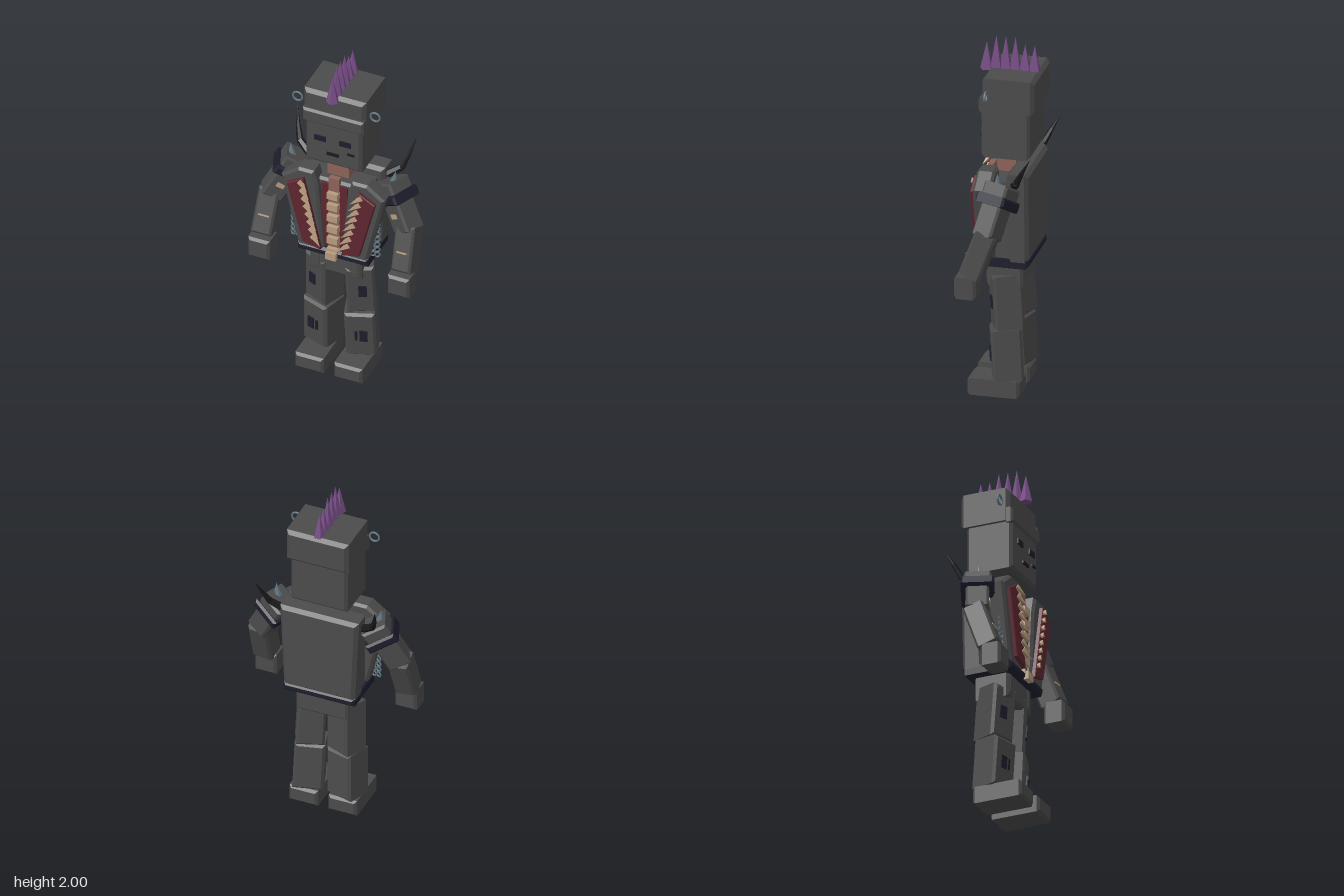
import * as THREE from 'three';

const mat = (name, color) => {
  const m = new THREE.MeshStandardMaterial({ color });
  m.name = name;
  return m;
};
const V = (x, y, z) => new THREE.Vector3(x, y, z);
const UP = V(0, 1, 0);

export function createModel() {
  const root = new THREE.Group();
  root.name = 'armouredPunkFigure';
  const grey = mat('charcoal grey', 0x4b4b4b);
  const navy = mat('dark navy', 0x1e1e2e);
  const maroon = mat('maroon', 0x5e2630);
  const skin = mat('skin brown', 0x8c6358);
  const bone = mat('bone', 0xb59b7d);
  const steel = mat('blue steel', 0x60737e);
  const purple = mat('purple', 0x774d86);
  const black = mat('black', 0x1a1a1e);

  const add = (name, geometry, material, p = V(0, 0, 0), parent = root) => {
    const m = new THREE.Mesh(geometry, material);
    m.name = name;
    m.position.copy(p);
    parent.add(m);
    return m;
  };
  // Flat polygon given thickness, with a chamfer of size b on all edges
  const slab = (pts, z0, z1, b) => {
    const shape = new THREE.Shape(pts.map(([x, y]) => new THREE.Vector2(x, y)));
    const g = new THREE.ExtrudeGeometry(shape, {
      depth: z1 - z0 - 2 * b, bevelEnabled: true, bevelSize: b, bevelThickness: b,
      bevelOffset: -b, bevelSegments: 1,
    });
    return g.translate(0, 0, z0 + b);
  };
  const chamferBox = (w, h, d, b = 0.014) =>
    slab([[-w / 2, -h / 2], [w / 2, -h / 2], [w / 2, h / 2], [-w / 2, h / 2]], -d / 2, d / 2, b);
  const box = (w, h, d) => new THREE.BoxGeometry(w, h, d);
  const faceted = (g) => {
    const f = g.toNonIndexed();
    f.computeVertexNormals();
    return f;
  };
  const spike = (name, from, to, r, sides, material, parent = root) => {
    const d = to.clone().sub(from);
    const m = add(name, faceted(new THREE.ConeGeometry(r, d.length(), sides)), material,
      from.clone().lerp(to, 0.5), parent);
    m.quaternion.setFromUnitVectors(UP, d.normalize());
    return m;
  };

  // Head, cap and face
  add('head', chamferBox(0.325, 0.3, 0.265, 0.016), grey, V(0, 1.51, -0.017));
  add('cap', chamferBox(0.36, 0.19, 0.285, 0.02), grey, V(0, 1.725, -0.035));
  add('capBand', chamferBox(0.355, 0.085, 0.05, 0.012), grey, V(0, 1.663, 0.102));
  for (const s of [-1, 1]) {
    add('eye', box(0.066, 0.03, 0.009), navy, V(s * 0.073, 1.533, 0.125));
    add('earring', new THREE.TorusGeometry(0.027, 0.006, 6, 16), steel, V(s * 0.225, 1.732, 0.075));
  }
  add('mouth', box(0.07, 0.016, 0.009), black, V(0, 1.442, 0.122));
  add('cheekScar', box(0.042, 0.01, 0.009), black, V(0.104, 1.47, 0.122));

  // Mohawk
  [1.96, 2, 2, 2, 1.96, 1.96].forEach((tip, i) => {
    const z = 0.125 - i * 0.0525;
    spike('mohawkSpike', V(0, 1.803, z), V(0, tip, z), 0.036, 5, purple);
  });

  // Neck and torso core
  add('neck', box(0.125, 0.13, 0.1), skin, V(0, 1.315, 0));
  add('torso', chamferBox(0.38, 0.46, 0.2), grey, V(0, 1.01, -0.01));
  add('chestSkin', box(0.06, 0.46, 0.03), skin, V(0, 1.04, 0.095));
  add('belt', chamferBox(0.41, 0.05, 0.285), navy, V(0, 0.778, -0.01));
  add('hips', chamferBox(0.3, 0.16, 0.2), grey, V(0, 0.7, -0.01));
  for (let i = 0; i < 6; i++)
    add('spinePlate', box(0.062, 0.04, 0.04), bone, V(0, 1.165 - i * 0.074, 0.115));
  add('buckle', box(0.06, 0.045, 0.03), bone, V(0, 0.778, 0.14));

  // Jacket back
  add('jacketBack', slab([[-0.205, 0.79], [0.205, 0.79], [0.228, 1.3], [-0.228, 1.3]], -0.155, -0.035, 0.02), grey);

  for (const s of [-1, 1]) {
    const mx = (pts) => pts.map(([x, y]) => [s * x, y]);

    // Jacket front with lapel, teeth and chain
    add('jacketFront', slab(mx([[0.052, 0.785], [0.2, 0.785], [0.3, 1.22], [0.2, 1.295], [0.11, 1.295], [0.085, 1.2]]), 0.03, 0.13, 0.014), grey);
    add('lapel', slab(mx([[0.06, 0.805], [0.165, 0.83], [0.256, 1.195], [0.16, 1.25]]), 0.125, 0.153, 0.004), maroon);
    add('innerLining', box(0.04, 0.42, 0.03), maroon, V(s * 0.054, 1.01, 0.09));
    for (let i = 0; i < 8; i++) {
      const t = i / 7;
      const x = 0.165 - 0.075 * t, y = 1.215 - 0.34 * t;
      spike('lapelTooth', V(s * (x + 0.014), y + 0.012, 0.15), V(s * (x - 0.042), y - 0.025, 0.183), 0.019, 4, bone);
    }
    for (let i = 0; i < 14; i++) {
      const ring = add('chainLink', new THREE.TorusGeometry(0.014, 0.005, 5, 10), steel,
        V(s * (0.218 + 0.026 * (i % 2)), 1.03 - Math.floor(i / 2) * 0.034, 0.09));
      ring.rotation.y = s * 0.4;
    }

    // Arm: parts are strung along shoulder, elbow and wrist, each turned outwards by yaw
    const arm = new THREE.Group();
    arm.name = s > 0 ? 'leftArm' : 'rightArm';
    root.add(arm);
    const shoulder = V(s * 0.27, 1.245, -0.03), elbow = V(s * 0.4, 1.0, 0.025);
    const foreTop = V(s * 0.4, 1.03, 0.015), wrist = V(s * 0.41, 0.785, 0.105);
    const limb = (name, a, b, w, d, yaw, material, t0 = 0, t1 = 1) => {
      const p = a.clone().lerp(b, t0), q = a.clone().lerp(b, t1);
      const m = add(name, chamferBox(w, p.distanceTo(q), d, 0.012), material, p.clone().lerp(q, 0.5), arm);
      const y = p.sub(q).normalize();
      const z = V(Math.cos(yaw), 0, s * Math.sin(yaw)).cross(y).normalize();
      m.quaternion.setFromRotationMatrix(new THREE.Matrix4().makeBasis(y.clone().cross(z), y, z));
      return m;
    };
    const upper = limb('upperArm', shoulder, elbow, 0.125, 0.125, 0.38, grey);
    limb('shoulderPad', shoulder, elbow, 0.145, 0.15, 0.38, grey, -0.03, 0.25);
    limb('shoulderBand', shoulder, elbow, 0.175, 0.18, 0.38, navy, 0.2, 0.4);
    const fore = limb('forearm', foreTop, wrist, 0.115, 0.12, 0.1, grey);
    add('hand', chamferBox(0.125, 0.125, 0.12), grey, V(s * 0.405, 0.723, 0.128), arm);
    add('armPatch', box(0.045, 0.026, 0.006), bone, V(0, -0.04, 0.064), upper);
    add('forearmScar', box(0.06, 0.008, 0.006), bone, V(0, -0.02, 0.062), fore);

    // Shoulder spike and curved horn
    spike('shoulderSpike', V(s * 0.292, 1.225, -0.01), V(s * 0.305, 1.335, -0.012), 0.034, 8, steel, arm);
    const pts = [V(0.23, 1.24, -0.085), V(0.295, 1.285, -0.112), V(0.322, 1.355, -0.148), V(0.345, 1.44, -0.195)];
    const radii = [0.024, 0.019, 0.012];
    for (let i = 0; i < 3; i++) {
      const a = pts[i].clone(), b = pts[i + 1].clone();
      a.x *= s; b.x *= s;
      const d = b.clone().sub(a);
      const g = faceted(new THREE.CylinderGeometry(radii[i + 1] || 0.001, radii[i], d.length() + 0.004, 6));
      add('horn', g, black, a.lerp(b, 0.5), arm).quaternion.setFromUnitVectors(UP, d.normalize());
    }

    // Leg, with thigh and shin turned outwards
    const leg = new THREE.Group();
    leg.name = s > 0 ? 'leftLeg' : 'rightLeg';
    root.add(leg);
    const thigh = add('thigh', chamferBox(0.155, 0.305, 0.16), grey, V(s * 0.103, 0.533, -0.01), leg);
    thigh.rotation.set(0.05, s * 0.42, s * 0.03);
    const shin = add('shin', chamferBox(0.165, 0.285, 0.165), grey, V(s * 0.109, 0.235, -0.012), leg);
    shin.rotation.set(0.05, s * 0.31, s * 0.025);
    add('foot', chamferBox(0.165, 0.096, 0.285), grey, V(s * 0.113, 0.048, 0.043), leg);
    add('thighPatch', box(0.045, 0.07, 0.008), navy, V(s * 0.01, -0.003, 0.083), thigh);
    add('shinPatch', box(0.042, 0.07, 0.008), navy, V(s * 0.018, 0, 0.088), shin);
    add('shinStrip', box(0.014, 0.06, 0.008), navy, V(s * -0.022, 0, 0.086), shin);
    for (const z of [0.085, -0.1])
      add('beltTab', chamferBox(0.04, 0.11, 0.02, 0.006), grey, V(s * 0.11, 0.7, z), leg);
  }
  return root;
}
